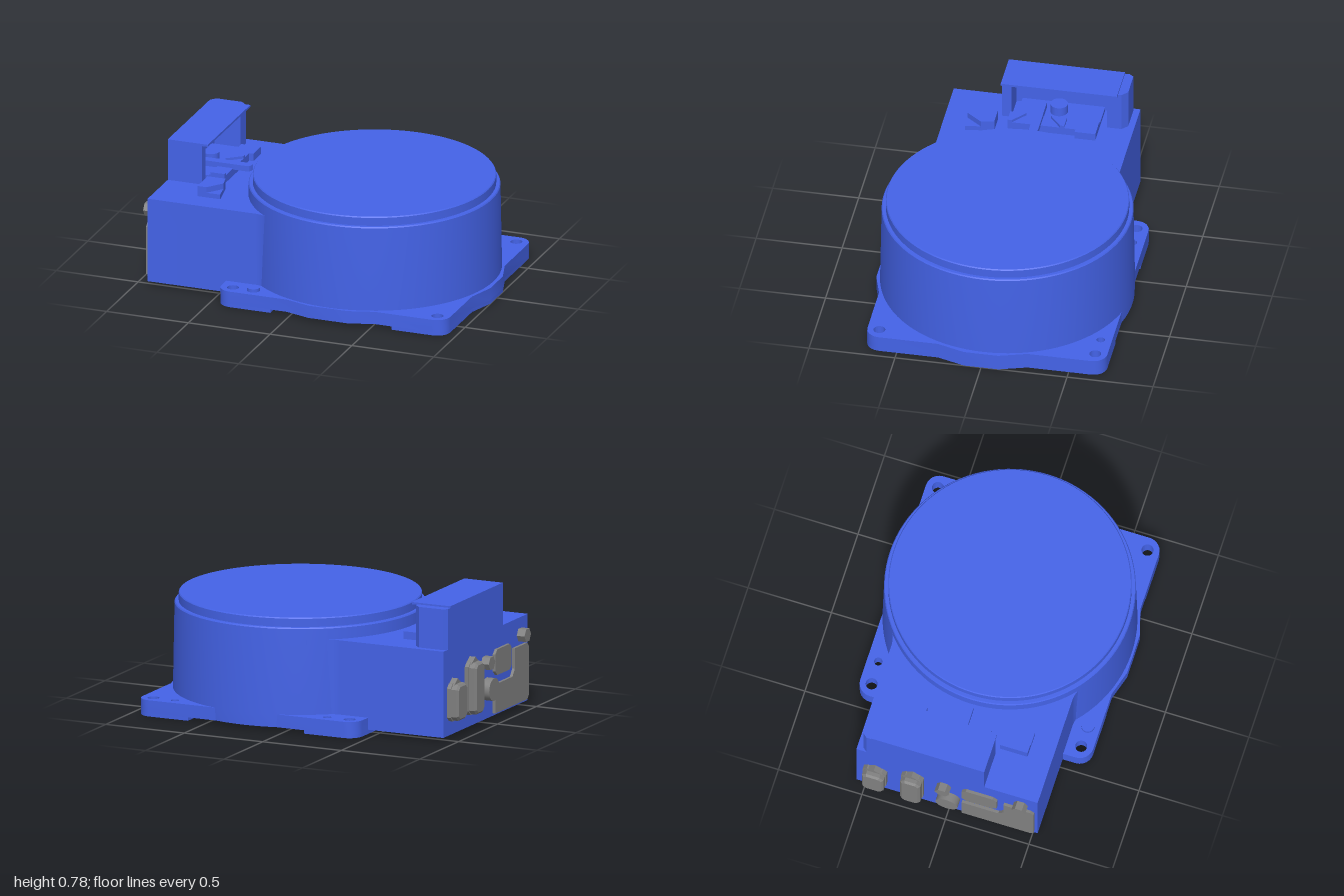
import * as THREE from 'three';
import { toCreasedNormals } from 'three/addons/utils/BufferGeometryUtils.js';

const blue = new THREE.MeshStandardMaterial({ color: 0x4463e8 });
const grey = new THREE.MeshStandardMaterial({ color: 0x808080 });
const CX = 0.25, CZ = -0.01; // drum axis

export function createModel() {
  const model = new THREE.Group();

  const add = (name, geometry, material = blue) => {
    const mesh = new THREE.Mesh(toCreasedNormals(geometry, 0.5), material);
    mesh.name = name;
    model.add(mesh);
    return mesh;
  };
  const shapeOf = (pts) => new THREE.Shape(pts.map(([a, b]) => new THREE.Vector2(a, b)));
  // extrude an x-z outline between two heights
  const slab = (name, shape, y0, y1, holes = []) => {
    for (const [x, z, r] of holes) shape.holes.push(new THREE.Path().absarc(x, z, r, 0, Math.PI * 2, true));
    const g = new THREE.ExtrudeGeometry(shape, { depth: y1 - y0, bevelEnabled: false, curveSegments: 32 });
    return add(name, g.rotateX(Math.PI / 2).translate(0, y1, 0));
  };
  const box = (name, x0, x1, y0, y1, z0, z1) => add(name,
    new THREE.BoxGeometry(x1 - x0, y1 - y0, z1 - z0).translate((x0 + x1) / 2, (y0 + y1) / 2, (z0 + z1) / 2));
  // extrude a z-y outline outward from the connector face
  const facePlate = (name, pts, depth, bevel = 0) => {
    const g = new THREE.ExtrudeGeometry(shapeOf(pts.map(([z, y]) => [z, y])), {
      depth: depth - bevel, bevelEnabled: bevel > 0, bevelSize: bevel, bevelOffset: -bevel, bevelThickness: bevel, bevelSegments: 1,
    });
    return add(name, g.rotateY(-Math.PI / 2).translate(-0.925, 0, 0), grey);
  };
  const plug = (name, z, y, r, length, sides) => add(name,
    new THREE.CylinderGeometry(r, r, length, sides).rotateZ(Math.PI / 2).translate(-0.925 - length / 2, y, z), grey);
  const corner = (cx, cz, r, a0) => Array.from({ length: 7 }, (_, i) => {
    const a = a0 + i * Math.PI / 12;
    return [cx + r * Math.cos(a), cz + r * Math.sin(a)];
  });

  // drum with stepped lid and open bore underneath
  const profile = [[0, 0.27], [0.38, 0.27], [0.415, 0.262], [0.442, 0.24], [0.457, 0.21], [0.465, 0.16], [0.47, 0.02],
    [0.726, 0.02], [0.728, 0.095], [0.719, 0.595], [0.714, 0.602], [0.695, 0.602], [0.695, 0.65], [0.69, 0.656], [0, 0.656]];
  add('drum', new THREE.LatheGeometry(profile.map(([r, y]) => new THREE.Vector2(r, y)), 96).translate(CX, 0, CZ));

  // mounting plate with rounded corners, edge bulges and bolt holes
  const bolts = [[-0.375, -0.64, 0.034], [-0.235, -0.645, 0.024], [0.735, -0.645, 0.024],
    [0.875, -0.64, 0.034], [-0.375, 0.615, 0.034], [0.875, 0.615, 0.034]];
  const sideBulge = [[0.95, -0.26], [1, -0.1], [1, 0.1], [0.95, 0.26]];
  const plate = [
    ...corner(-0.37, -0.63, 0.08, Math.PI), ...corner(0.87, -0.63, 0.08, -Math.PI / 2), ...sideBulge,
    ...corner(0.87, 0.605, 0.08, 0), [0.52, 0.685], [0.37, 0.73], [0.13, 0.73], [-0.02, 0.685],
    ...corner(-0.37, 0.605, 0.08, Math.PI / 2),
  ];
  slab('mountingPlate', shapeOf(plate), 0.02, 0.095, [...bolts, [CX, CZ, 0.47]]);

  // raised foot pads under both sides, cut away around the drum
  for (const s of [1, -1]) {
    const pts = [[0.37, -0.71], ...corner(0.62, -0.63, 0.08, -Math.PI / 2),
      ...(s > 0 ? sideBulge.map(([x, z]) => [x - CX, z]) : []),
      ...corner(0.62, 0.605, 0.08, 0), [0.37, 0.685]];
    const a = Math.acos(0.37 / 0.69);
    for (let i = 0; i <= 32; i++) {
      const t = a - 2 * a * i / 32;
      pts.push([0.69 * Math.cos(t), CZ + 0.69 * Math.sin(t)]);
    }
    slab('footPad', shapeOf(pts.map(([d, z]) => [CX + s * d, z])), 0, 0.02,
      bolts.filter(([x]) => (x - CX) * s > 0));
  }
  add('locatingBoss', new THREE.CylinderGeometry(0.038, 0.038, 0.03, 32).translate(-0.25, 0.1, 0.615));

  // terminal housing blending into the drum
  const housing = new THREE.Shape();
  housing.moveTo(-0.93, -0.555);
  housing.lineTo(-0.27, -0.555);
  housing.quadraticCurveTo(-0.2, -0.555, -0.1, -0.64);
  housing.lineTo(-0.28, -0.2);
  housing.lineTo(-0.28, 0.2);
  housing.lineTo(-0.1, 0.62);
  housing.quadraticCurveTo(-0.2, 0.53, -0.27, 0.53);
  housing.lineTo(-0.93, 0.53);
  slab('terminalHousing', housing, 0.025, 0.53);

  // raised hood, open toward the drum
  box('hoodBackWall', -0.93, -0.88, 0.53, 0.77, -0.465, 0.21);
  box('hoodRoof', -0.93, -0.685, 0.765, 0.778, -0.465, 0.21);
  box('hoodFrontWall', -0.93, -0.72, 0.53, 0.77, 0.155, 0.21);
  slab('hoodRearWall', shapeOf([[-0.93, -0.4], [-0.93, -0.495], [-0.91, -0.518], [-0.755, -0.518],
    [-0.72, -0.485], [-0.72, -0.4]]), 0.53, 0.768);

  // latch mechanism in the hood
  box('latchBase', -0.88, -0.685, 0.53, 0.555, -0.36, 0.12);
  slab('latchBracket', shapeOf([[-0.7, -0.36], [-0.58, -0.36], [-0.58, -0.24], [-0.605, -0.24],
    [-0.605, 0.155], [-0.7, 0.155]]), 0.53, 0.575);
  for (const s of [1, -1]) {
    slab('latchRib', shapeOf([[-0.69, -0.01 + s * 0.07], [-0.605, -0.01 + s * 0.14],
      [-0.605, -0.01 + s * 0.165], [-0.69, -0.01 + s * 0.165]]), 0.57, 0.59);
  }
  const lever = new THREE.Shape();
  lever.moveTo(-0.8, -0.037);
  lever.lineTo(-0.526, -0.037);
  lever.absarc(-0.526, -0.011, 0.026, -Math.PI / 2, Math.PI / 2, false);
  lever.lineTo(-0.8, 0.015);
  slab('latchLever', lever, 0.567, 0.6);
  add('latchPivot', new THREE.CylinderGeometry(0.05, 0.05, 0.06, 32).translate(-0.79, 0.58, -0.11));

  // loose stop block beside the hood
  slab('stopBlock', shapeOf([[-0.68, 0.225], [-0.57, 0.225], [-0.54, 0.39], [-0.68, 0.39]]), 0.53, 0.558);
  slab('stopWedge', shapeOf([[-0.68, 0.225], [-0.57, 0.225], [-0.555, 0.3], [-0.625, 0.39], [-0.68, 0.39]]), 0.55, 0.592);

  // connectors on the end face
  const socket = (z0, z1, y0, y1) => {
    const c = 0.025;
    return [[z0 + c, y0], [z1 - c, y0], [z1, y0 + c], [z1, y1 - c], [z1 - c, y1], [z0 + c, y1], [z0, y1 - c], [z0, y0 + c]];
  };
  for (const [z0, z1, y0, y1] of [[-0.51, -0.37, 0.11, 0.33], [-0.28, -0.15, 0.1, 0.41]]) {
    facePlate('socketFlange', socket(z0, z1, y0, y1), 0.03);
    facePlate('socket', socket(z0 + 0.005, z1 - 0.005, y0 + 0.005, y1 - 0.005), 0.074, 0.012);
    const m = (z0 + z1) / 2;
    facePlate('socketKey', [[m - 0.05, y1 - 0.01], [m + 0.05, y1 - 0.01], [m, y1 + 0.025]], 0.04);
  }
  plug('roundPort', 0, 0.2, 0.066, 0.055, 32);
  plug('hexFitting', -0.03, 0.36, 0.042, 0.055, 6);
  plug('hexFitting', 0.43, 0.43, 0.042, 0.055, 6);
  facePlate('upperCover', socket(0.08, 0.29, 0.26, 0.41), 0.022);
  facePlate('lowerCover', [[0.08, 0.04], [0.49, 0.04], [0.51, 0.06], [0.51, 0.35], [0.49, 0.37], [0.33, 0.37],
    [0.33, 0.25], [0.3, 0.21], [0.08, 0.21]], 0.022);
  return model;
}
